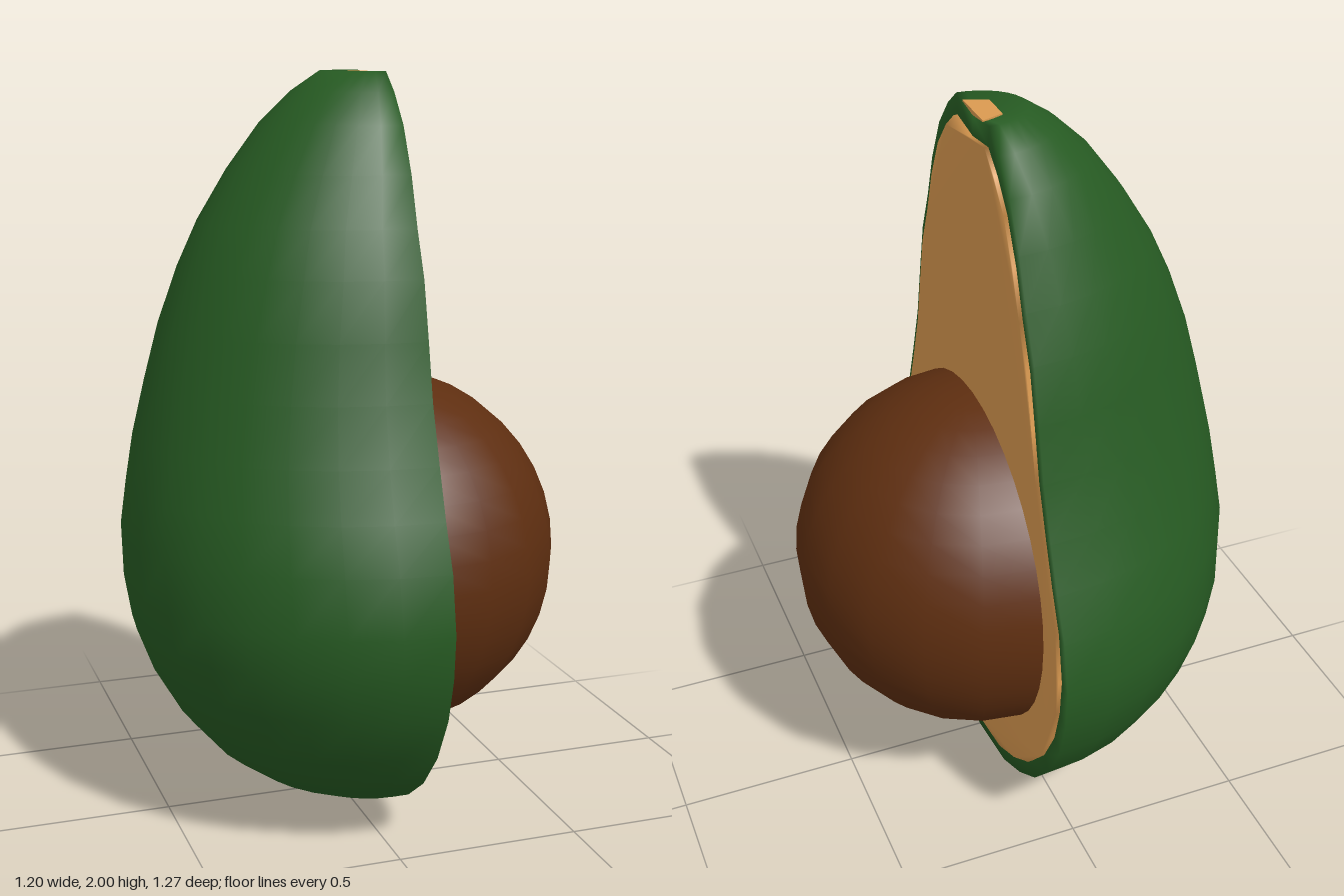
import * as THREE from 'three';
import { mergeVertices } from 'three/addons/utils/BufferGeometryUtils.js';

const CUT = 0.09; // x of the cut plane

// Skin outline, bottom to top: [height, half width, depth behind the cut]
const PROFILE = [
  [0, 0, 0], [0.03, 0.2, 0.21], [0.09, 0.32, 0.34], [0.17, 0.43, 0.45], [0.28, 0.525, 0.545],
  [0.41, 0.595, 0.62], [0.53, 0.627, 0.665], [0.65, 0.637, 0.685], [0.8, 0.61, 0.69],
  [0.92, 0.56, 0.675], [1.05, 0.513, 0.655], [1.2, 0.463, 0.62], [1.35, 0.43, 0.58],
  [1.5, 0.395, 0.525], [1.62, 0.345, 0.47], [1.75, 0.3, 0.39], [1.87, 0.24, 0.3],
  [1.95, 0.172, 0.215], [2, 0.11, 0.14], [1.985, 0, 0],
];
// Matching outline of the flesh, slightly inside the skin
const INSET = PROFILE.map(([y, w]) => [0.05 + y * 0.9475, w * 0.94]);

function part(name, geometry, color) {
  const mesh = new THREE.Mesh(geometry, new THREE.MeshStandardMaterial({ color }));
  mesh.name = name;
  return mesh;
}

// Half-elliptical rows for the outside, with a rim column folded inward at each end
function skinGeometry() {
  const segments = 16, columns = segments + 3;
  const positions = [], index = [];
  PROFILE.forEach(([y, w, d], j) => {
    const [iy, iw] = INSET[j];
    positions.push(CUT, iy, iw);
    for (let i = 0; i <= segments; i++) {
      const a = (i / segments) * Math.PI;
      positions.push(CUT - d * Math.sin(a), y, w * Math.cos(a));
    }
    positions.push(CUT, iy, -iw);
    if (j === 0) return;
    for (let i = 0; i < columns - 1; i++) {
      const a = (j - 1) * columns + i, b = a + columns;
      index.push(a, b, a + 1, b, b + 1, a + 1);
    }
  });
  let geometry = new THREE.BufferGeometry();
  geometry.setAttribute('position', new THREE.Float32BufferAttribute(positions, 3));
  geometry.setIndex(index);
  geometry = mergeVertices(geometry, 1e-4);
  geometry.computeVertexNormals();
  return geometry;
}

// Thin slab that fills the cut, with softened edge normals
function fleshGeometry() {
  const right = INSET.map(([y, w]) => new THREE.Vector2(w, y));
  const left = right.slice(1, -1).reverse().map((p) => new THREE.Vector2(-p.x, p.y));
  let geometry = new THREE.ExtrudeGeometry(new THREE.Shape([...right, ...left]), { depth: 0.03, bevelEnabled: false });
  geometry.rotateY(Math.PI / 2).translate(0.07, 0, 0);
  geometry.deleteAttribute('normal');
  geometry.deleteAttribute('uv');
  geometry = mergeVertices(geometry, 1e-4);
  geometry.computeVertexNormals();
  return geometry;
}

// Small patch where the stem was, lying on the top
function stemGeometry() {
  const shape = new THREE.Shape([
    new THREE.Vector2(0.03, -0.045), new THREE.Vector2(CUT, -0.068),
    new THREE.Vector2(CUT, 0.068), new THREE.Vector2(0.03, 0.045),
  ]);
  const geometry = new THREE.ExtrudeGeometry(shape, { depth: 0.015, bevelEnabled: false });
  return geometry.rotateX(-Math.PI / 2).translate(0, 1.983, 0);
}

export function createModel() {
  const group = new THREE.Group();
  group.name = 'halvedAvocado';
  const seed = part('seed', new THREE.SphereGeometry(0.5, 20, 20), 0x5e2e10);
  seed.position.set(0.1, 0.7, 0);
  group.add(
    part('skin', skinGeometry(), 0x265a22),
    part('flesh', fleshGeometry(), 0xdb9a50),
    part('stemPatch', stemGeometry(), 0xdb9a50),
    seed,
  );
  return group;
}
